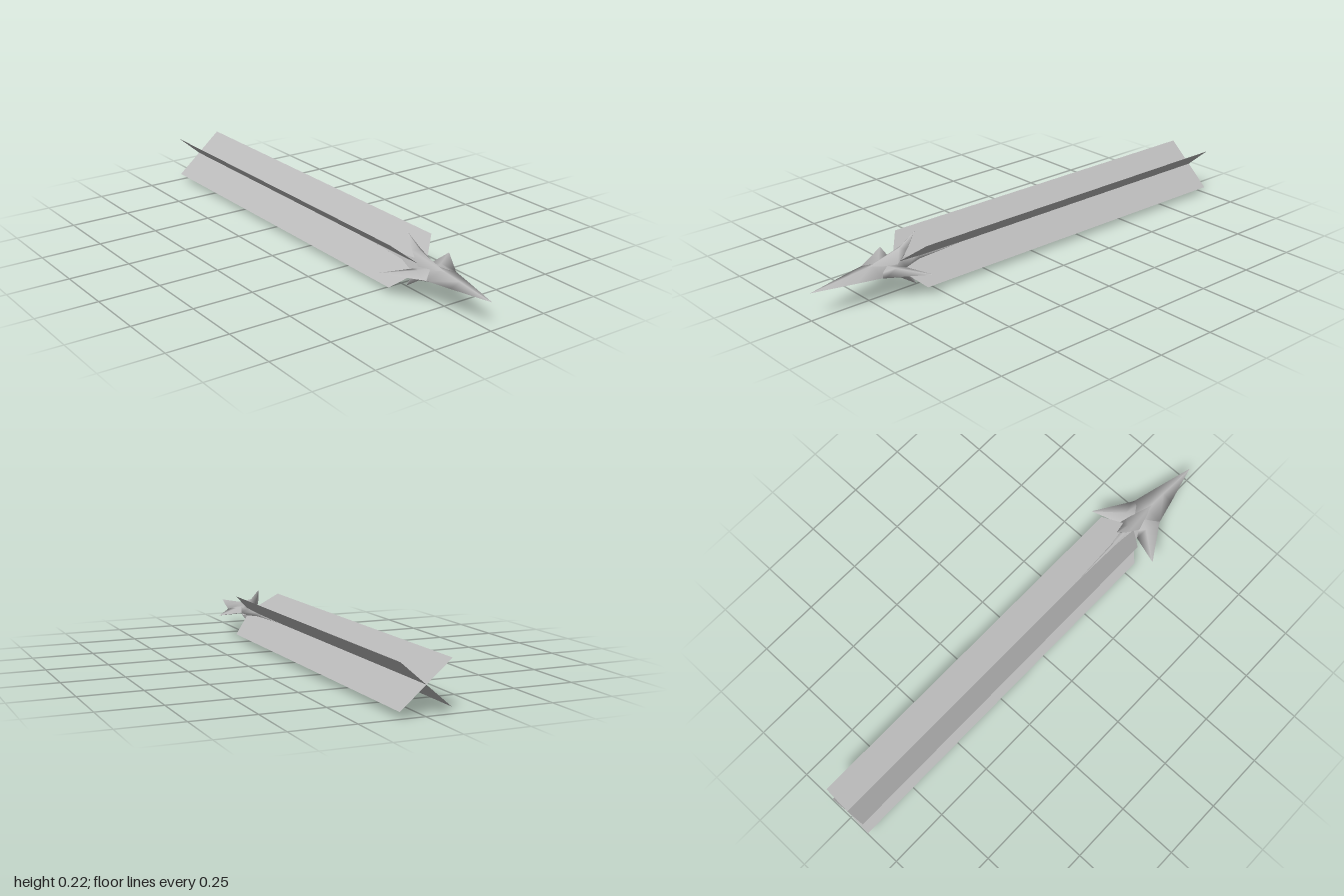
import * as THREE from 'three';

const AXIS_Y = 0.1125;

// Skin through four-point rings, ordered counter-clockwise seen from the first ring
function loft(rings) {
  const index = [];
  for (let i = 0; i < rings.length - 1; i++) {
    for (let j = 0; j < 4; j++) {
      const k = (j + 1) % 4;
      const a = i * 4 + j, b = a + 4, c = (i + 1) * 4 + k, d = i * 4 + k;
      index.push(a, b, c, a, c, d);
    }
  }
  const g = new THREE.BufferGeometry();
  g.setAttribute('position', new THREE.Float32BufferAttribute(rings.flat(2), 3));
  g.setIndex(index);
  g.computeVertexNormals();
  return g;
}

// Diamond-section body: rows of [z, half width, half height]
const bodyGeometry = rows => loft(rows.map(([z, w, h]) =>
  [[w, 0, z], [0, h, z], [-w, 0, z], [0, -h, z]]));

// Swept barb pointing up: rows of [front y, side y, back y, front z, side z, back z, half width]
const barbGeometry = rows => loft(rows.map(([fy, sy, by, fz, sz, bz, w]) =>
  [[0, fy, fz], [w, sy, sz], [0, by, bz], [-w, sy, sz]]));

export function createModel() {
  const model = new THREE.Group();
  const arrow = new THREE.Group();
  arrow.name = 'arrow';
  arrow.position.y = AXIS_Y;
  model.add(arrow);

  const grey = new THREE.MeshStandardMaterial({ color: 0xbcbcbc, side: THREE.DoubleSide });
  grey.name = 'plain grey';

  const add = (name, geometry, turn = 0) => {
    const mesh = new THREE.Mesh(geometry, grey);
    mesh.name = name;
    mesh.rotation.z = turn;
    arrow.add(mesh);
  };

  // Pointed head running back into a thin tang
  add('headBody', bodyGeometry([
    [1, 0, 0], [0.83, 0.045, 0.016], [0.73, 0.07, 0.026],
    [0.61, 0.05, 0.025], [0.52, 0.016, 0.012], [0.29, 0, 0],
  ]));

  // Upper and lower barbs
  const tall = barbGeometry([
    [0.109, 0.109, 0.109, 0.53, 0.53, 0.53, 0],
    [0.06, 0.055, 0.05, 0.605, 0.585, 0.565, 0.02],
    [0.022, 0.016, 0.015, 0.76, 0.64, 0.59, 0.036],
  ]);
  add('upperBarb', tall);
  add('lowerBarb', tall, Math.PI);

  // Left and right barbs
  const wide = barbGeometry([
    [0.168, 0.168, 0.168, 0.573, 0.573, 0.573, 0],
    [0.075, 0.055, 0.05, 0.72, 0.66, 0.61, 0.013],
    [0.03, 0, 0, 0.82, 0.69, 0.6, 0.02],
  ]);
  add('leftBarb', wide, -Math.PI / 2);
  add('rightBarb', wide, Math.PI / 2);

  // Two crossed flat sheets forming the shaft
  const halfWidth = Math.hypot(0.098, 0.084);
  const outline = new THREE.Shape([
    [-halfWidth, 1], [halfWidth, 1], [halfWidth, -0.55], [0, -0.64], [-halfWidth, -0.55],
  ].map(([x, y]) => new THREE.Vector2(x, y)));
  const sheet = new THREE.ShapeGeometry(outline).rotateX(-Math.PI / 2);
  const tilt = Math.atan2(0.084, 0.098);
  add('shaftSheetA', sheet, tilt);
  add('shaftSheetB', sheet, -tilt);

  return model;
}
